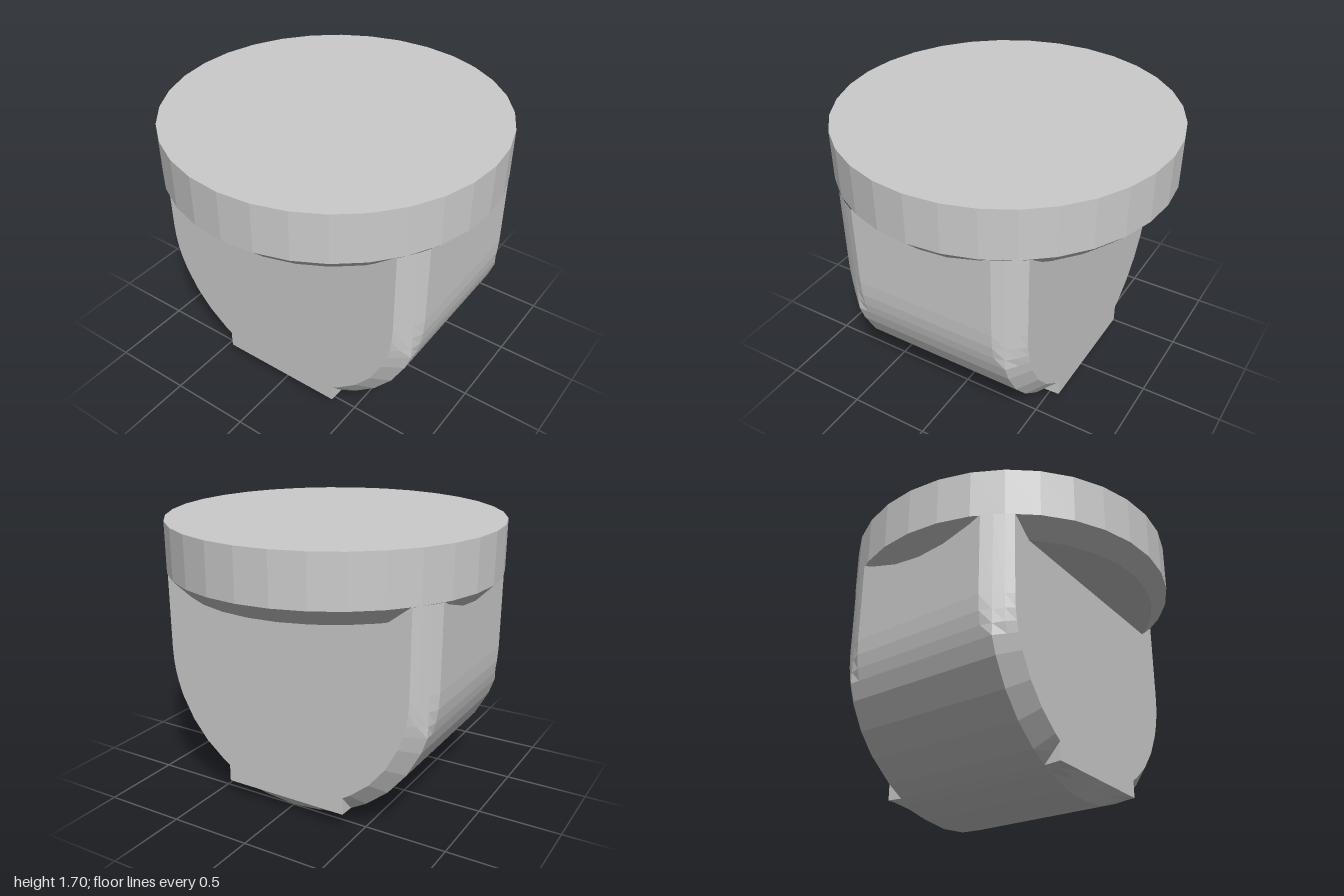
import * as THREE from 'three';

const R = 0.9;          // radius of the rounded underside, centred at y = 0.9
const TOP = 1.4;        // height where the stem meets the cap
const rad = THREE.MathUtils.degToRad;

// Cross-section of the stem at a given x, as [y, z] points from back to front
function section(x) {
  const ax = Math.abs(x);
  const r = Math.min(R, 1.4 - ax);                    // chamfered side edges
  const t = Math.max(0, (ax - 0.5) / 0.1);            // 0 at chamfer start, 1 at side face
  const limit = Math.min(R, Math.sqrt(1 - x * x));    // trimmed by the cap's cylinder
  const half = [];
  // middle of the underside, where the chamfer ends level at y = 0.1
  for (const z of [0, R * Math.sin(rad(11.25)), R * Math.sin(rad(22.5)), 0.4]) {
    const y = R - Math.sqrt(R * R - z * z);
    half.push([y + (0.1 - y) * t, z]);
  }
  // step up to the rounded chamfer, then round to vertical
  const a0 = Math.asin(0.4 / r);
  half.push([R - r * Math.cos(a0), 0.4]);
  for (const deg of [33.75, 45, 56.25, 67.5, 74.2, 78.75, 84, 90]) {
    const a = rad(deg);
    half.push([R - r * Math.cos(a), Math.min(limit, r * Math.sin(a))]);
  }
  half.push([TOP, limit]);
  const back = half.slice(1).reverse().map(([y, z]) => [y, -z]);
  return [...back, ...half];
}

// Loft the sections along x and close both side faces
function stemGeometry() {
  const xs = [-0.6, -0.556, -0.5, -0.436, 0.436, 0.5, 0.556, 0.6];
  const rings = xs.map(x => section(x).map(([y, z]) => new THREE.Vector3(x, y, z)));
  const n = rings[0].length;
  const pos = [];
  const tri = (a, b, c) => {
    const area = b.clone().sub(a).cross(c.clone().sub(a)).length();
    if (area > 1e-7) for (const p of [a, b, c]) pos.push(p.x, p.y, p.z);
  };
  for (let i = 0; i < xs.length - 1; i++) {
    for (let j = 0; j < n - 1; j++) {
      const a = rings[i][j], b = rings[i + 1][j];
      const c = rings[i][j + 1], d = rings[i + 1][j + 1];
      tri(a, b, c);
      tri(b, d, c);
    }
  }
  for (const ring of [rings[0], rings[xs.length - 1]]) {
    const centre = new THREE.Vector3(ring[0].x, R, 0);
    for (let j = 0; j < n; j++) {
      const p = ring[j], q = ring[(j + 1) % n];
      if (centre.x > 0) tri(centre, q, p);
      else tri(centre, p, q);
    }
  }
  const g = new THREE.BufferGeometry();
  g.setAttribute('position', new THREE.Float32BufferAttribute(pos, 3));
  g.computeVertexNormals();
  return g;
}

export function createModel() {
  const group = new THREE.Group();
  const material = new THREE.MeshStandardMaterial({ color: 0xcccccc, flatShading: true });

  // Round cap with a chamfered lower rim
  const profile = [[0, 1.3], [0.9, 1.3], [1, 1.4], [1, 1.7], [0, 1.7]]
    .map(([r, y]) => new THREE.Vector2(r, y));
  const cap = new THREE.Mesh(new THREE.LatheGeometry(profile, 32), material);
  cap.name = 'cap';

  // Slab-sided stem with a rounded, chamfered bottom
  const stem = new THREE.Mesh(stemGeometry(), material);
  stem.name = 'stem';

  group.add(cap, stem);
  return group;
}
